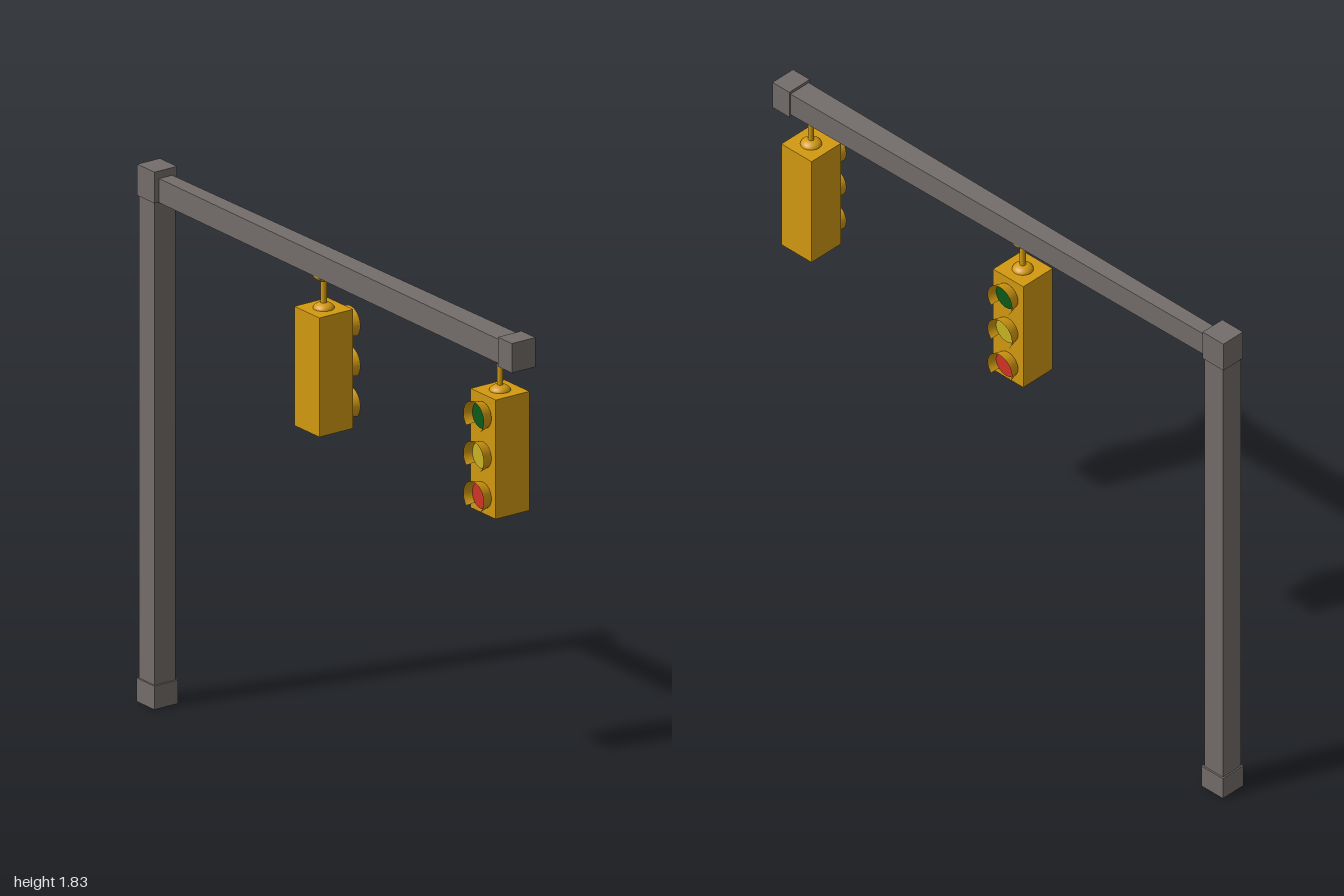
import * as THREE from 'three';

const mat = (color, extra = {}) => new THREE.MeshStandardMaterial({ color, ...extra });

export function createModel() {
  const model = new THREE.Group();
  model.name = 'trafficSignalGantry';
  const steel = mat(0x736d6a);
  const yellow = mat(0xd39a10);
  const yellowThin = mat(0xd39a10, { side: THREE.DoubleSide });
  const lensMats = [mat(0x0b5a1a), mat(0xc9b523), mat(0xd33426)];

  const add = (parent, name, geometry, material, x = 0, y = 0, z = 0) => {
    const mesh = new THREE.Mesh(geometry, material);
    mesh.name = name;
    mesh.position.set(x, y, z);
    parent.add(mesh);
    return mesh;
  };
  const box = (name, x0, x1, y0, y1, depth) => add(model, name,
    new THREE.BoxGeometry(x1 - x0, y1 - y0, depth), steel, (x0 + x1) / 2, (y0 + y1) / 2, 0);

  // Upright with its foot and collar
  box('pole', -0.995, -0.912, 0.01, 1.82, 0.083);
  box('poleFoot', -1, -0.905, 0, 0.08, 0.095);
  box('poleCap', -1, -0.908, 1.72, 1.826, 0.09);

  // Cross beam, widening in depth toward its free end
  const beam = box('crossBeam', -0.93, 0.95, 1.718, 1.8, 1);
  const p = beam.geometry.attributes.position;
  for (let i = 0; i < p.count; i++) p.setZ(i, p.getZ(i) * (p.getX(i) < 0 ? 0.052 : 0.084));
  beam.geometry.computeVertexNormals();
  box('beamEndCap', 0.925, 1, 1.71, 1.81, 0.094);

  // Shallow dome used at both ends of the hanger
  const dome = () => new THREE.SphereGeometry(0.035, 24, 8, 0, Math.PI * 2, 0, Math.PI / 2).scale(1, 0.6, 1);

  function signal(name, x, turn) {
    const group = new THREE.Group();
    group.name = name;
    group.position.x = x;
    group.rotation.y = turn;
    model.add(group);

    add(group, 'housing', new THREE.BoxGeometry(0.134, 0.405, 0.134), yellow, 0, 1.4025, 0);
    add(group, 'lowerMount', dome(), yellowThin, 0, 1.604, 0);
    add(group, 'upperMount', dome().rotateX(Math.PI), yellowThin, 0, 1.719, 0);
    add(group, 'hangerRod', new THREE.CylinderGeometry(0.01, 0.01, 0.11, 16), yellow, 0, 1.66, 0);

    // Lamps: lens disc under a flared visor that is open at the bottom
    [1.535, 1.399, 1.262].forEach((y, i) => {
      const lens = new THREE.CylinderGeometry(0.044, 0.044, 0.014, 32).rotateX(Math.PI / 2);
      add(group, 'lens', lens, lensMats[i], 0, y, 0.07);
      const visor = new THREE.CylinderGeometry(0.054, 0.043, 0.042, 32, 1, true, Math.PI / 4, Math.PI * 1.5)
        .rotateX(Math.PI / 2);
      add(group, 'visor', visor, yellowThin, 0, y, 0.085);
    });
  }
  signal('rearFacingSignal', -0.066, Math.PI);
  signal('frontFacingSignal', 0.874, 0);

  return model;
}
